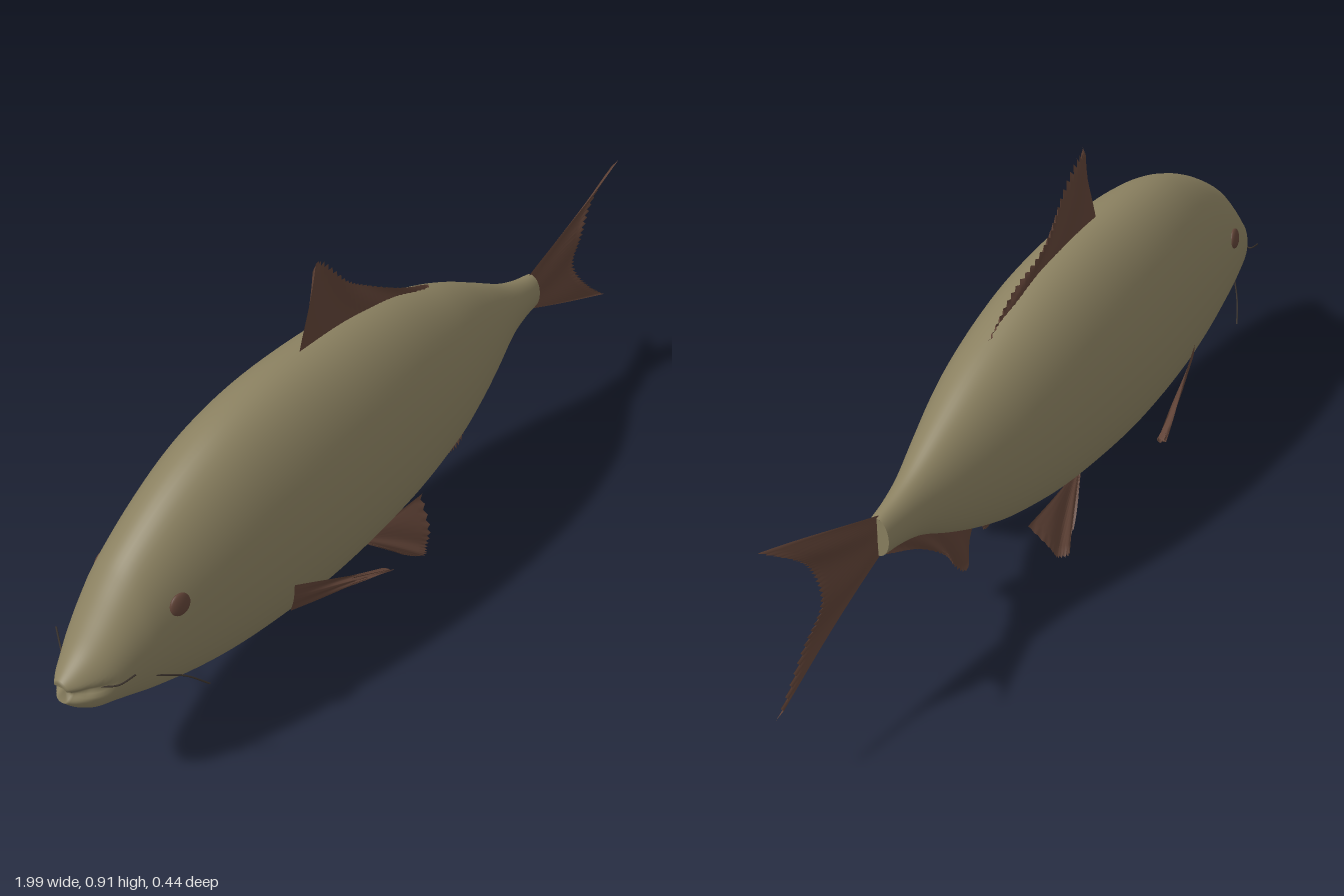
import * as THREE from 'three';

const skin = new THREE.MeshStandardMaterial({ color: 0x8a8060, side: THREE.DoubleSide });
skin.name = 'olive skin';
const finBrown = new THREE.MeshStandardMaterial({ color: 0x5f4236, side: THREE.DoubleSide });
finBrown.name = 'fin brown';
const dark = new THREE.MeshStandardMaterial({ color: 0x38302a });
dark.name = 'dark barbel';

// Body stations: x, top, bottom, half width
const stations = [
  [-1.0, 0.35, 0.3, 0.02], [-0.975, 0.37, 0.272, 0.04], [-0.94, 0.4, 0.247, 0.06],
  [-0.9, 0.445, 0.233, 0.077], [-0.85, 0.502, 0.212, 0.092], [-0.8, 0.55, 0.19, 0.104],
  [-0.7, 0.617, 0.155, 0.122], [-0.6, 0.667, 0.13, 0.138], [-0.5, 0.7, 0.115, 0.15],
  [-0.38, 0.718, 0.106, 0.16], [-0.25, 0.722, 0.104, 0.164], [-0.1, 0.715, 0.114, 0.161],
  [0.05, 0.69, 0.134, 0.15], [0.2, 0.642, 0.173, 0.13], [0.3, 0.6, 0.212, 0.108],
  [0.4, 0.546, 0.263, 0.08], [0.5, 0.49, 0.322, 0.05], [0.57, 0.463, 0.346, 0.036],
  [0.63, 0.45, 0.355, 0.028],
];
const V = (p) => new THREE.Vector3(...p);
const curve = (pts) => new THREE.CatmullRomCurve3(pts.map(V), false, 'catmullrom', 0.5);

function gridGeometry(positions, index) {
  const g = new THREE.BufferGeometry();
  g.setAttribute('position', new THREE.Float32BufferAttribute(positions, 3));
  g.setIndex(index);
  g.computeVertexNormals();
  return g;
}

// Elliptical cross-sections lofted along x, with a groove pressed in for the mouth
function bodyGeometry() {
  const outline = curve(stations.map(([x, t, b]) => [x, t, b]));
  const width = curve(stations.map(([x, , , w]) => [x, w, 0]));
  const rows = 90, seg = 56, pos = [], idx = [];
  for (let i = 0; i <= rows; i++) {
    const o = outline.getPoint(i / rows), w = width.getPoint(i / rows).y;
    for (let j = 0; j < seg; j++) {
      const a = (j / seg) * Math.PI * 2;
      const y = (o.y + o.z) / 2 + ((o.y - o.z) / 2) * Math.cos(a);
      const nearMouth = Math.max(0, Math.min(1, (-0.91 - o.x) / 0.06));
      const groove = nearMouth * Math.exp(-(((y - 0.322) / 0.011) ** 2));
      pos.push(o.x + 0.016 * groove, y, w * Math.sin(a) * (1 - 0.2 * groove));
    }
  }
  for (let i = 0; i < rows; i++) {
    for (let j = 0; j < seg; j++) {
      const a = i * seg + j, b = i * seg + ((j + 1) % seg);
      idx.push(a, b, a + seg, b, b + seg, a + seg);
    }
  }
  const nose = pos.length / 3;
  pos.push(-0.985, 0.323, 0);
  for (let j = 0; j < seg; j++) idx.push(nose, (j + 1) % seg, j);
  return gridGeometry(pos, idx);
}

// Fan of rays from a root curve to a ragged tip curve, rippled along one direction
function finGeometry(root, tip, ripple, { rays = 48, ragged = 0.05, amp = 0.008 } = {}) {
  const rc = curve(root), tc = curve(tip), dir = V(ripple).normalize();
  const steps = 8, pos = [], idx = [];
  for (let i = 0; i <= rays; i++) {
    const u = i / rays, r = rc.getPoint(u), t = tc.getPoint(u);
    const reach = 1 - (i % 2) * ragged;
    for (let k = 0; k <= steps; k++) {
      const v = k / steps;
      const wave = amp * v * (0.75 * Math.sin(u * 14 + v * 3) + 0.35 * (i % 2 ? -1 : 1));
      const p = r.clone().lerp(t, v * reach).addScaledVector(dir, wave);
      pos.push(p.x, p.y, p.z);
    }
  }
  for (let i = 0; i < rays; i++) {
    for (let k = 0; k < steps; k++) {
      const a = i * (steps + 1) + k, b = a + steps + 1;
      idx.push(a, b, a + 1, b, b + 1, a + 1);
    }
  }
  return gridGeometry(pos, idx);
}

export function createModel() {
  const fish = new THREE.Group();
  fish.name = 'fish';
  const add = (name, geometry, material) => {
    const m = new THREE.Mesh(geometry, material);
    m.name = name;
    fish.add(m);
    return m;
  };

  add('body', bodyGeometry(), skin);
  const cap = add('tailStump', new THREE.CircleGeometry(1, 40), skin);
  cap.rotation.y = Math.PI / 2;
  cap.scale.set(0.028, 0.0475, 1);
  cap.position.set(0.63, 0.4025, 0);

  // Fins on the centre line
  const sideways = [0, 0, 1];
  add('dorsalFin', finGeometry(
    [[-0.25, 0.71, 0], [-0.1, 0.705, 0], [0.05, 0.68, 0], [0.2, 0.63, 0]],
    [[-0.2, 0.915, 0.006], [-0.165, 0.905, 0.004], [-0.09, 0.82, 0], [0, 0.755, 0], [0.1, 0.7, 0], [0.21, 0.645, 0]],
    sideways, { rays: 60, ragged: 0.08 }), finBrown);
  add('analFin', finGeometry(
    [[0.27, 0.225, 0], [0.38, 0.265, 0], [0.5, 0.335, 0], [0.6, 0.365, 0]],
    [[0.305, 0.1, 0], [0.33, 0.1, 0], [0.38, 0.175, 0], [0.46, 0.25, 0], [0.62, 0.352, 0]],
    sideways, { ragged: 0.08 }), finBrown);
  add('tailFin', finGeometry(
    [[0.62, 0.452, 0], [0.62, 0.403, 0], [0.62, 0.353, 0]],
    [[0.99, 0.605, 0.004], [0.9, 0.53, 0], [0.845, 0.465, 0], [0.83, 0.405, 0],
      [0.845, 0.34, 0], [0.9, 0.275, 0], [0.995, 0.195, 0]],
    sideways, { rays: 64, ragged: 0.03 }), finBrown);

  // Paired parts
  for (const [side, s] of [['left', 1], ['right', -1]]) {
    add(side + 'PectoralFin', finGeometry(
      [[-0.465, 0.312, s * 0.15], [-0.465, 0.27, s * 0.146], [-0.46, 0.225, s * 0.132]],
      [[-0.21, 0.207, s * 0.2], [-0.205, 0.2, s * 0.203], [-0.215, 0.194, s * 0.19]],
      [0, 0.4, s], { rays: 16, ragged: 0.03, amp: 0.012 }).translate(0, 0, s * 0.006), finBrown);

    add(side + 'PelvicFin', finGeometry(
      [[-0.11, 0.128, s * 0.05], [-0.1, 0.126, s * 0.048], [-0.085, 0.125, s * 0.045]],
      [[0, 0.035, s * 0.092], [0.045, 0.008, s * 0.108], [0.075, 0.008, s * 0.108], [0.1, 0.035, s * 0.092], [0.13, 0.115, s * 0.052]],
      [0, 0.5, s], { rays: 32, ragged: 0.03, amp: 0.007 }), finBrown);

    const eye = add(side + 'Eye', new THREE.SphereGeometry(0.025, 24, 16), finBrown);
    eye.scale.z = 0.35;
    eye.rotation.set(-s * 0.17, -s * 0.15, 0);
    eye.position.set(-0.757, 0.445, s * 0.107);

    // Thin whiskers beside the mouth and under the cheek
    const whiskers = [
      ['MouthBarbel', [[-0.935, 0.322, 0.05], [-0.915, 0.33, 0.08], [-0.895, 0.362, 0.11]]],
      ['CheekBarbel', [[-0.82, 0.285, 0.085], [-0.77, 0.265, 0.118], [-0.725, 0.222, 0.143]]],
    ];
    for (const [name, pts] of whiskers) {
      const path = curve(pts.map(([x, y, z]) => [x, y, s * z]));
      add(side + name, new THREE.TubeGeometry(path, 12, 0.002, 5), dark);
    }
  }
  return fish;
}
